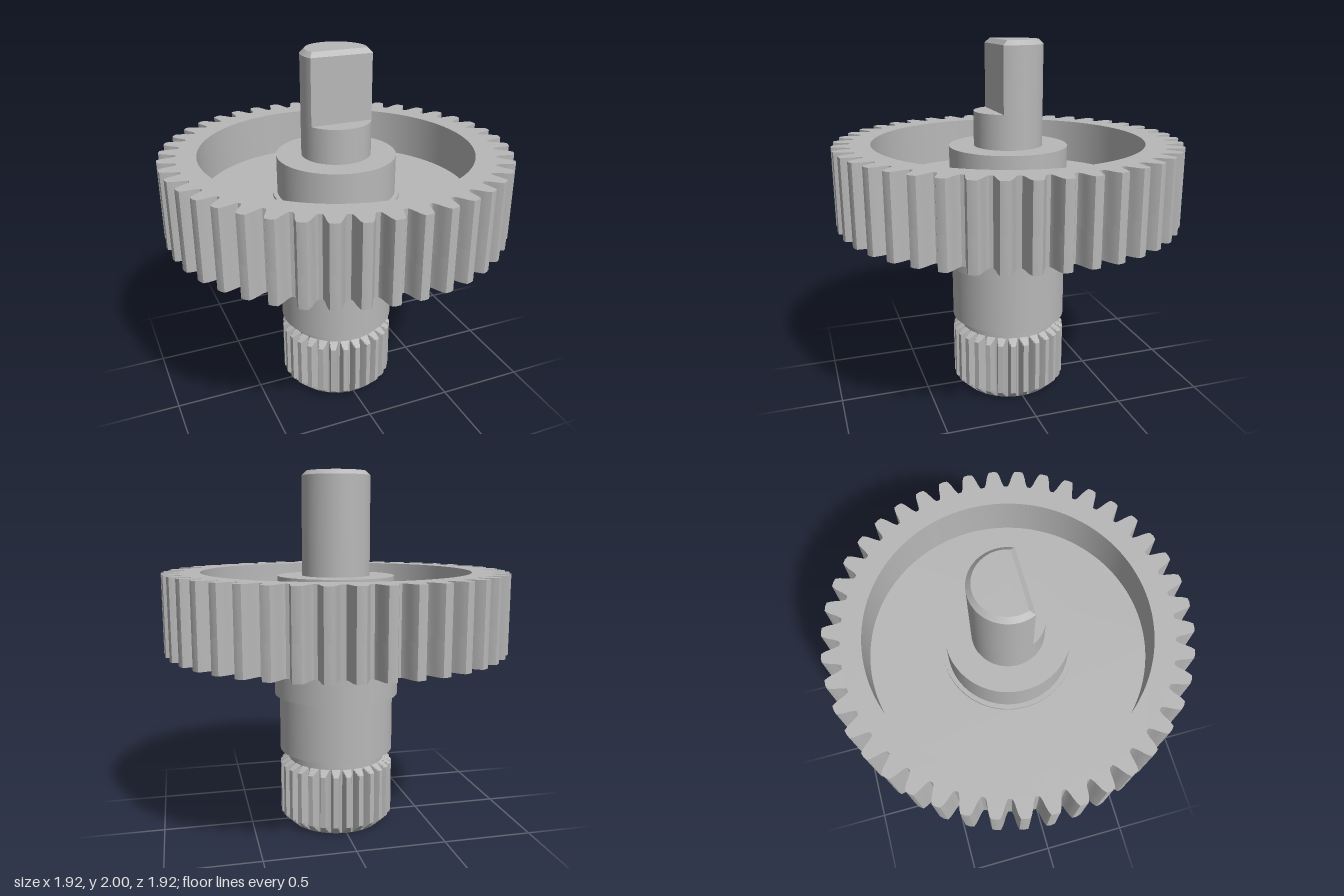
import * as THREE from 'three';
import { mergeGeometries, toCreasedNormals } from 'three/addons/utils/BufferGeometryUtils.js';

// Turned surface with a sharp edge at every profile point [radius, height]
function turned(profile) {
  const parts = [];
  for (let i = 0; i < profile.length - 1; i++) {
    const pair = [profile[i], profile[i + 1]].map(([r, y]) => new THREE.Vector2(r, y));
    parts.push(new THREE.LatheGeometry(pair, 72));
  }
  return mergeGeometries(parts);
}

// Skin between closed rings of [x, y, z] points, optionally capped on top
function loft(rings, cap, crease) {
  const pos = [];
  const n = rings[0].length;
  for (let j = 0; j < rings.length - 1; j++) {
    for (let i = 0; i < n; i++) {
      const k = (i + 1) % n;
      const a = rings[j][i], b = rings[j][k], c = rings[j + 1][k], d = rings[j + 1][i];
      pos.push(...a, ...b, ...c, ...a, ...c, ...d);
    }
  }
  if (cap) {
    const top = rings[rings.length - 1];
    for (let i = 0; i < n; i++) pos.push(0, top[0][1], 0, ...top[i], ...top[(i + 1) % n]);
  }
  const g = new THREE.BufferGeometry();
  g.setAttribute('position', new THREE.Float32BufferAttribute(pos, 3));
  return toCreasedNormals(g, crease);
}

// Toothed outline, optionally with a round opening
function gearShape(teeth, phase, hole) {
  const half = [[0.064, 0.862], [0.057, 0.872], [0.049, 0.89], [0.042, 0.915], [0.034, 0.938], [0.024, 0.957]];
  const flank = [...half.map(([a, r]) => [-a, r]), [0, 0.96], ...half.slice().reverse()];
  const pts = [];
  for (let i = 0; i < teeth; i++) {
    const mid = phase + (i / teeth) * Math.PI * 2;
    for (const [a, r] of flank) pts.push(new THREE.Vector2(r * Math.cos(mid + a), r * Math.sin(mid + a)));
  }
  const shape = new THREE.Shape(pts);
  if (hole) shape.holes.push(new THREE.Path().absarc(0, 0, hole, 0, Math.PI * 2, true));
  return shape;
}

function slab(shape, y0, y1) {
  const g = new THREE.ExtrudeGeometry(shape, { depth: y1 - y0, bevelEnabled: false, curveSegments: 96 });
  g.rotateX(-Math.PI / 2);
  g.translate(0, y0, 0);
  return toCreasedNormals(g, 0.35);
}

// Splined ring at height y, trimmed to a largest radius
function splineRing(y, rMax) {
  const teeth = 28;
  const tooth = [[-0.43, 0.275], [-0.36, 0.29], [-0.28, 0.308], [-0.19, 0.325],
    [0.19, 0.325], [0.28, 0.308], [0.36, 0.29], [0.43, 0.275]];
  const ring = [];
  for (let i = 0; i < teeth; i++) {
    for (const [f, r0] of tooth) {
      const a = ((i + f) / teeth) * Math.PI * 2, r = Math.min(r0, rMax);
      ring.push([r * Math.sin(a), y, r * Math.cos(a)]);
    }
  }
  return ring;
}

// D-shaped ring with its flat facing +z
function dRing(y, r, flat) {
  const h = Math.acos(flat / r), n = 64, ring = [];
  for (let i = 0; i <= n; i++) {
    const a = h + (i / n) * (2 * Math.PI - 2 * h);
    ring.push([r * Math.sin(a), y, r * Math.cos(a)]);
  }
  return ring;
}

export function createModel() {
  const group = new THREE.Group();
  const metal = new THREE.MeshStandardMaterial({ color: 0xb8b8b8 });
  metal.name = 'grey metal';
  const add = (name, geometry) => {
    const mesh = new THREE.Mesh(geometry, metal);
    mesh.name = name;
    group.add(mesh);
  };

  // Gear wheel: solid web below, open toothed rim above
  const phase = Math.PI / 2 + 0.043;
  add('gearWeb', slab(gearShape(42, phase), 1.02, 1.2));
  add('gearRim', slab(gearShape(42, phase, 0.752), 1.2, 1.455));

  // Stepped bearing sleeve under the gear
  add('lowerSleeve', turned([[0.275, 0.375], [0.275, 0.43], [0.325, 0.43], [0.325, 0.757],
    [0.353, 0.757], [0.353, 1.02]]));

  // Hub and round part of the shaft inside the gear
  add('upperHub', turned([[0.353, 1.2], [0.353, 1.215], [0.328, 1.215], [0.328, 1.43],
    [0.19, 1.43], [0.19, 1.62], [0, 1.62]]));

  // Shaft end with a flat and a chamfered tip
  add('flattedShaft', loft([dRing(1.62, 0.19, 0.08), dRing(1.975, 0.19, 0.08),
    dRing(2, 0.165, 0.055)], true, 0.5));

  // Splined end, chamfered top and bottom
  const levels = [[0, 0.27], [0.005, 0.275], [0.02, 0.29], [0.037, 0.308], [0.054, 0.325],
    [0.347, 0.325], [0.357, 0.308], [0.367, 0.29], [0.375, 0.275]];
  add('spline', loft(levels.map(([y, r]) => splineRing(y, r)), false, 0.3));

  // Countersunk threaded bore, entered from below
  const bore = [[0, 0.5], [0.12, 0.5]];
  for (let y = 0.48; y > 0.1; y -= 0.03) bore.push([0.12, y], [0.14, y - 0.015]);
  bore.push([0.14, 0.08], [0.22, 0], [0.27, 0]);
  add('threadedBore', turned(bore));

  return group;
}
